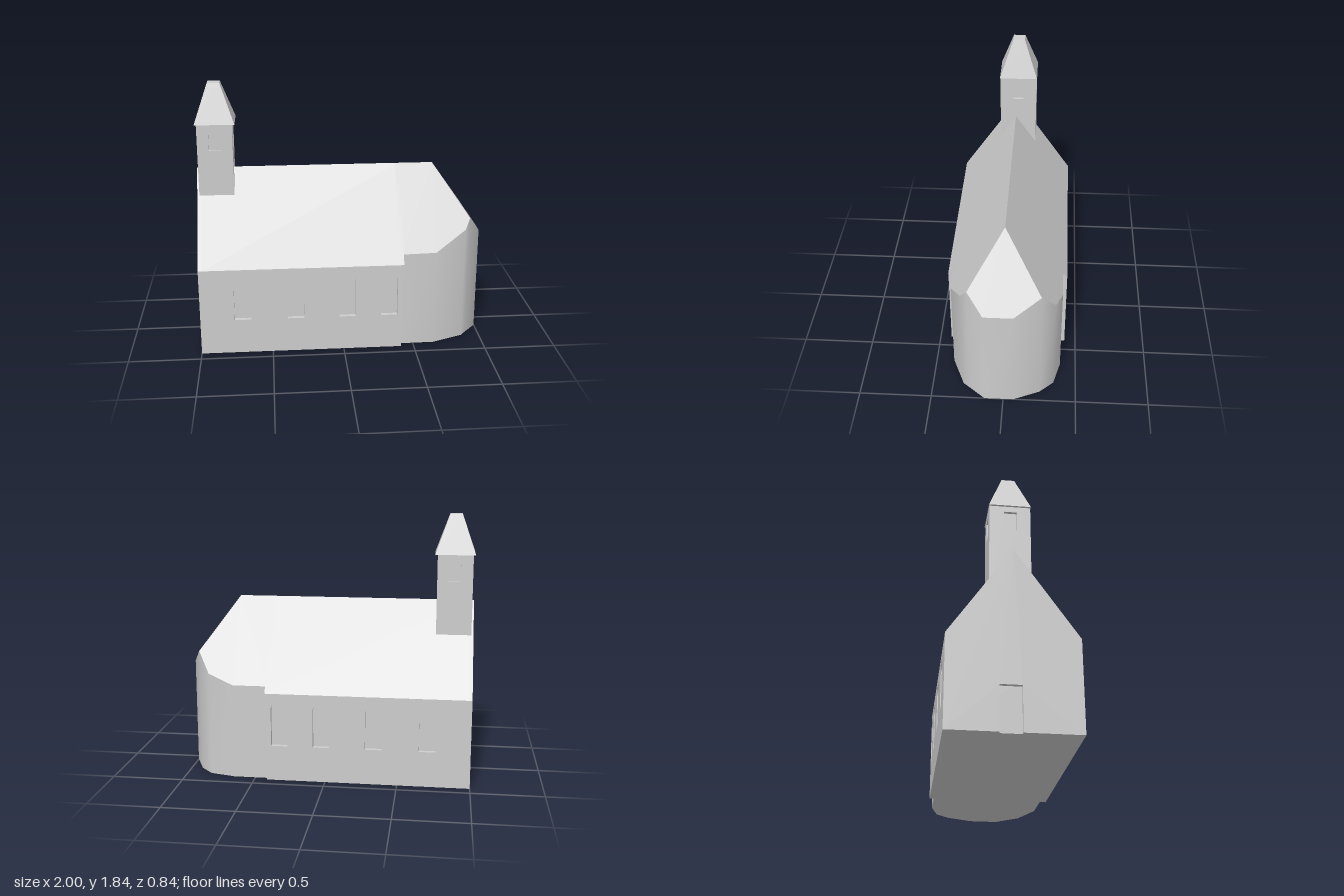
import * as THREE from 'three';

const EAVES = 0.625, RIDGE = 1.24, HALF = 0.42, HIP_X = 0.665;
const SLOPE = (RIDGE - EAVES) / HALF, HIP_SLOPE = 1.433;

const stone = new THREE.MeshStandardMaterial({ color: 0xcccccc });
stone.name = 'paleGrey';

function add(group, name, geometry) {
  const mesh = new THREE.Mesh(geometry, stone);
  mesh.name = name;
  group.add(mesh);
  return mesh;
}

function box(x0, x1, y0, y1, z0, z1) {
  return new THREE.BoxGeometry(x1 - x0, y1 - y0, z1 - z0)
    .translate((x0 + x1) / 2, (y0 + y1) / 2, (z0 + z1) / 2);
}

const polygon = (pts) => new THREE.Shape(pts.map(([x, y]) => new THREE.Vector2(x, y)));
const rect = (x0, x1, y0, y1) => polygon([[x0, y0], [x1, y0], [x1, y1], [x0, y1]]);
const extrude = (shape, depth) =>
  new THREE.ExtrudeGeometry(shape, { depth, bevelEnabled: false, curveSegments: 8 });

// Profile drawn in (z, y), extruded from xEnd towards -x
const extrudeAlongX = (shape, depth, xEnd) =>
  extrude(shape, depth).rotateY(-Math.PI / 2).translate(xEnd, 0, 0);

// Round-headed window opening
function archHole(cx, y0, y1, w) {
  const r = w / 2, p = new THREE.Path();
  p.moveTo(cx - r, y0);
  p.lineTo(cx + r, y0);
  p.lineTo(cx + r, y1 - r);
  p.absarc(cx, y1 - r, r, 0, Math.PI, false);
  p.closePath();
  return p;
}

function triangles(points) {
  const g = new THREE.BufferGeometry();
  g.setFromPoints(points);
  g.computeVertexNormals();
  return g;
}

function buildNave() {
  const nave = new THREE.Group();
  nave.name = 'nave';
  add(nave, 'naveCore', box(-0.975, 0.405, 0, EAVES, -0.39, 0.39));

  // Side walls with four recessed windows each
  const wall = rect(-0.975, 0.41, 0, EAVES);
  for (const x of [-0.705, -0.335, 0.027, 0.32]) wall.holes.push(archHole(x, 0.25, 0.57, 0.115));
  add(nave, 'frontWall', extrude(wall, 0.03).translate(0, 0, 0.39));
  add(nave, 'backWall', extrude(wall, 0.03).translate(0, 0, -HALF));

  // End gable with the door recess
  const gable = polygon([[-HALF, 0], [-0.09, 0], [-0.09, 0.3], [0.05, 0.3], [0.05, 0],
    [HALF, 0], [HALF, EAVES], [0, RIDGE], [-HALF, EAVES]]);
  add(nave, 'doorGable', extrudeAlongX(gable, 0.025, -0.975));

  const roof = polygon([[-HALF, EAVES], [HALF, EAVES], [0, RIDGE]]);
  add(nave, 'naveRoof', extrudeAlongX(roof, 1.395, 0.42));
  return nave;
}

function buildApse() {
  const apse = new THREE.Group();
  apse.name = 'apse';
  // Plan of the rounded end, front to back as (x, z)
  const plan = [[0.4, 0.378], [0.65, 0.375], [0.87, 0.285], [0.908, 0.238], [1, 0.13],
    [1, -0.07], [0.92, -0.25], [0.83, -0.345], [0.65, -0.39], [0.4, -0.39]];
  const base = plan.map(([x, z]) => new THREE.Vector3(x, 0, z));
  // Walls end where they meet the roof slopes
  const top = plan.map(([x, z]) => new THREE.Vector3(x,
    RIDGE - Math.max(SLOPE * Math.abs(z), HIP_SLOPE * (x - HIP_X)), z));

  // Smooth curved wall
  const n = plan.length, index = [];
  for (let i = 0; i < n - 1; i++) index.push(i, i + 1, n + i + 1, i, n + i + 1, n + i);
  const wall = new THREE.BufferGeometry().setFromPoints([...base, ...top]);
  wall.setIndex(index);
  wall.computeVertexNormals();
  add(apse, 'apseWall', wall);

  // Hipped roof and floor
  const ridgeStart = new THREE.Vector3(0.4, RIDGE, 0);
  const ridgeEnd = new THREE.Vector3(HIP_X, RIDGE, 0);
  const roof = [ridgeStart, top[0], ridgeEnd, top[n - 1], ridgeStart, ridgeEnd];
  const floor = [];
  for (let i = 0; i < n - 1; i++) {
    roof.push(top[i], top[i + 1], ridgeEnd);
    if (i > 0) floor.push(base[0], base[i + 1], base[i]);
  }
  add(apse, 'apseRoof', triangles(roof));
  add(apse, 'apseFloor', triangles(floor));
  return apse;
}

function buildTower() {
  const tower = new THREE.Group();
  tower.name = 'bellTower';
  const x0 = -0.985, x1 = -0.742, z0 = -0.152, z1 = 0.117, y0 = 1, y1 = 1.57, t = 0.02;
  const cx = -0.862, cz = -0.018;
  add(tower, 'towerCore', box(x0 + t, x1 - t, y0, y1, z0 + t, z1 - t));

  // Four walls, each with a rectangular window recess
  const wide = rect(x0, x1, y0, y1);
  wide.holes.push(rect(cx - 0.043, cx + 0.043, 1.39, 1.53));
  add(tower, 'towerFrontWall', extrude(wide, t).translate(0, 0, z1 - t));
  add(tower, 'towerBackWall', extrude(wide, t).translate(0, 0, z0));
  const side = rect(z0 + t, z1 - t, y0, y1);
  side.holes.push(rect(-0.057, 0.028, 1.39, 1.53));
  add(tower, 'towerLeftWall', extrudeAlongX(side, t, x1));
  add(tower, 'towerRightWall', extrudeAlongX(side, t, x0 + t));

  // Flat-topped spire
  const spire = new THREE.CylinderGeometry(0.085 / Math.SQRT2, 0.276 / Math.SQRT2, 0.27, 4)
    .rotateY(Math.PI / 4).toNonIndexed();
  spire.computeVertexNormals();
  add(tower, 'spire', spire.translate(cx, 1.705, cz));
  return tower;
}

export function createModel() {
  const church = new THREE.Group();
  church.name = 'church';
  church.add(buildNave(), buildApse(), buildTower());
  return church;
}
